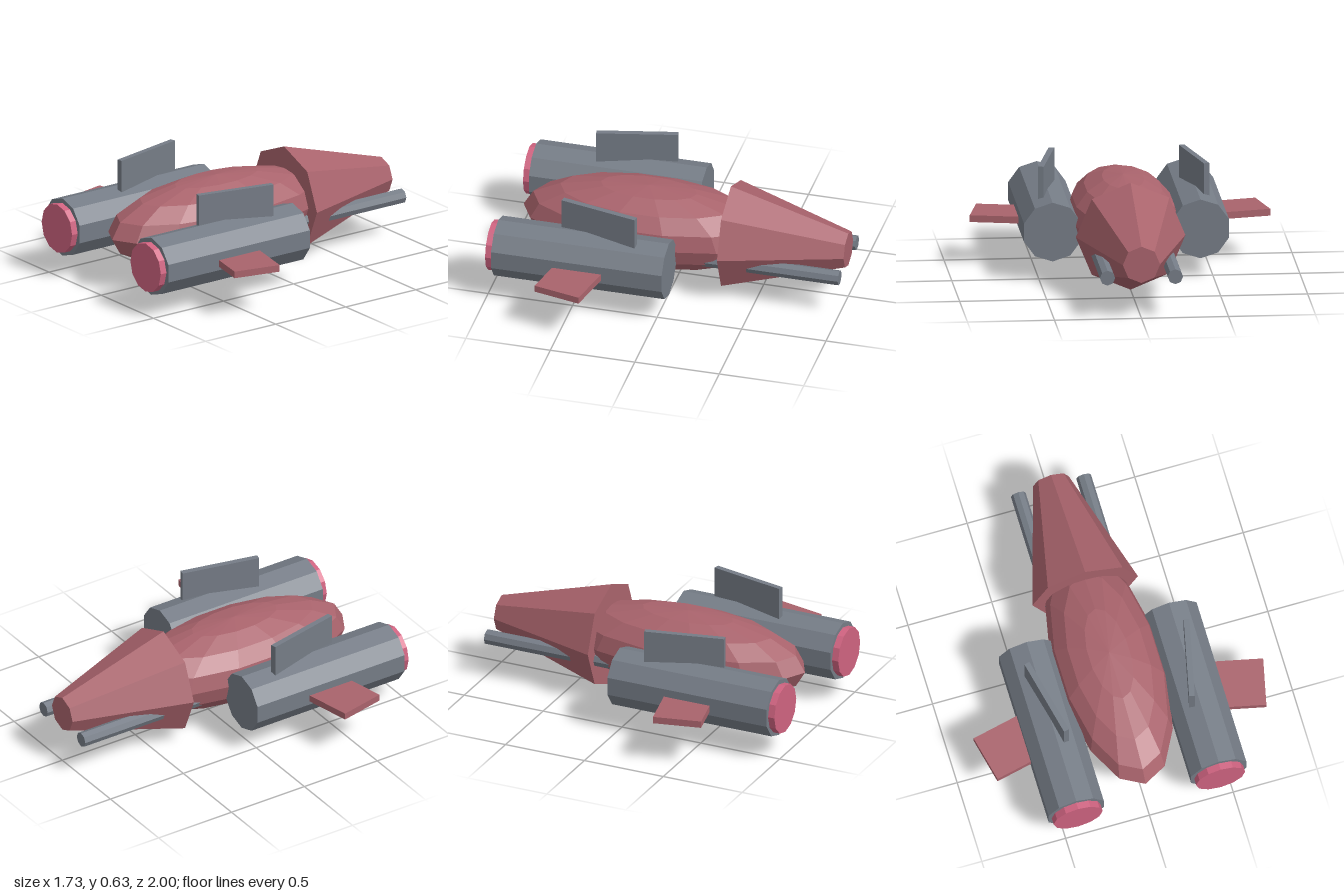
import * as THREE from 'three';

const makeMaterial = (name, color) => {
  const m = new THREE.MeshStandardMaterial({ color, flatShading: true });
  m.name = name;
  return m;
};

// Cylinder or cone along z, from zBack to zFront
function tube(rBack, rFront, zBack, zFront, sides) {
  const g = new THREE.CylinderGeometry(rFront, rBack, zFront - zBack, sides);
  g.rotateX(Math.PI / 2);
  g.translate(0, 0, (zBack + zFront) / 2);
  return g;
}

export function createModel() {
  const red = makeMaterial('dusty red hull', 0xa9636c);
  const grey = makeMaterial('steel grey', 0x757c86);
  const pink = makeMaterial('pink glow', 0xcf6380);

  const model = new THREE.Group();
  model.name = 'spaceship';

  const add = (parent, name, geometry, material, x, y, z) => {
    const mesh = new THREE.Mesh(geometry, material);
    mesh.name = name;
    mesh.position.set(x, y, z);
    parent.add(mesh);
    return mesh;
  };

  // Faceted egg-shaped hull, with a corner at each end
  const hull = new THREE.SphereGeometry(1, 14, 8);
  hull.rotateY(Math.PI / 2);
  hull.scale(0.313, 0.245, 0.742);
  add(model, 'hull', hull, red, 0, 0.32, 0.18);

  // Tapered eight-sided tail
  add(model, 'tailCone', tube(0.107, 0.315, -1, -0.305, 8), red, 0, 0.317, 0);

  for (const side of [1, -1]) {
    const label = side > 0 ? 'left' : 'right';
    const pod = new THREE.Group();
    pod.name = label + 'EnginePod';
    pod.position.set(side * 0.425, 0.288, 0);
    model.add(pod);

    // Engine body and its glowing end
    add(pod, label + 'Engine', tube(0.173, 0.173, -0.05, 0.96, 10), grey, 0, 0, 0);
    add(pod, label + 'EngineGlow', tube(0.146, 0.146, 0.94, 1, 12), pink, 0, 0, 0);

    // Upright fin and side winglet share the same slant
    const fin = add(pod, label + 'TopFin',
      new THREE.BoxGeometry(0.033, 0.23, 0.469), grey, 0, 0.227, 0.362);
    const winglet = add(pod, label + 'Winglet',
      new THREE.BoxGeometry(0.5, 0.04, 0.283), red, side * 0.164, -0.013, 0.453);
    fin.rotation.y = winglet.rotation.y = -0.22 * side;

    // Slim barrel running out beside the tail
    add(model, label + 'Barrel', tube(0.044, 0.044, -1, -0.1, 8), grey, side * 0.195, 0.243, 0);
  }
  return model;
}
